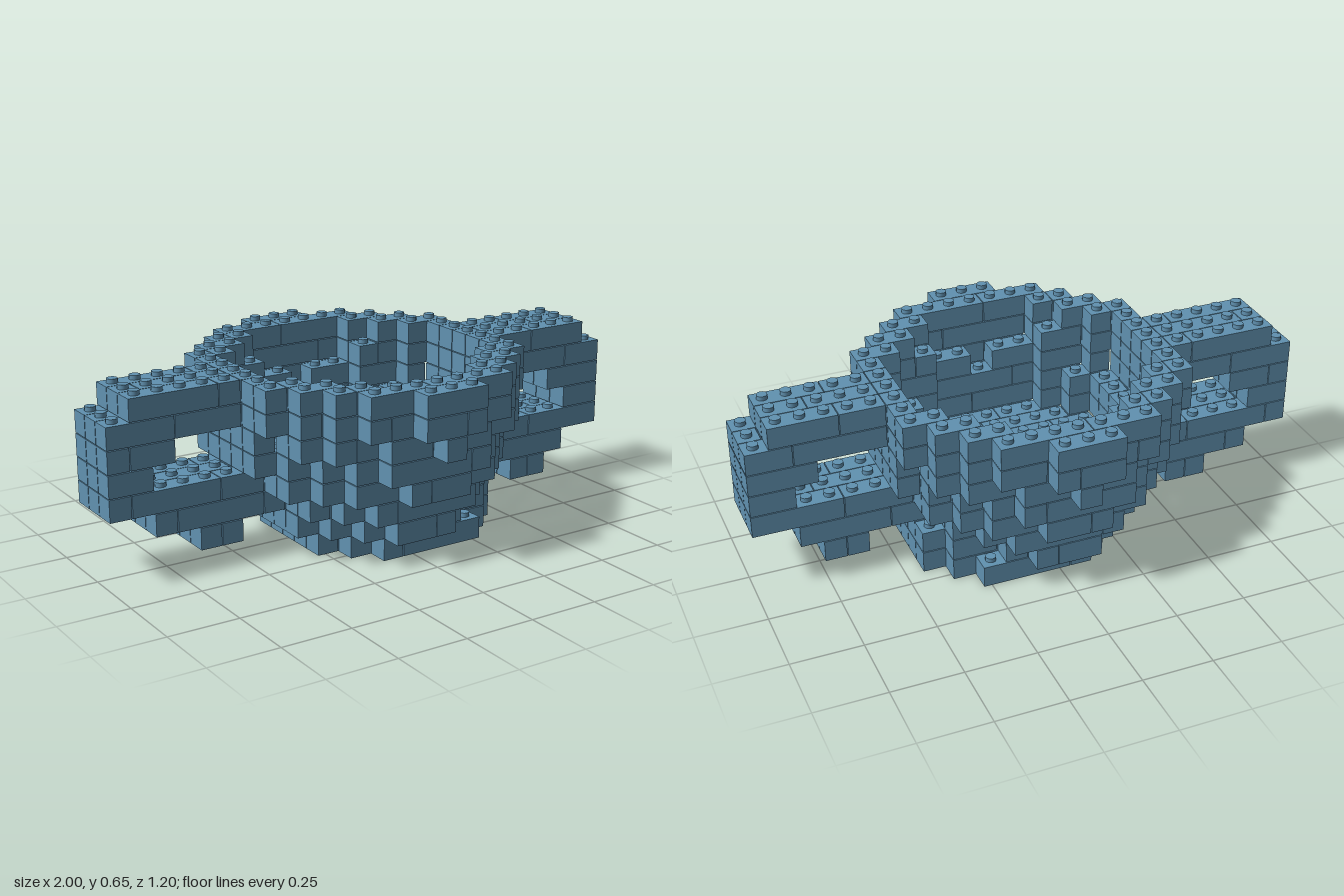
import * as THREE from 'three';
import { mergeGeometries } from 'three/addons/utils/BufferGeometryUtils.js';

const U = 0.08;      // one brick cell, also one brick course
const GAP = 0.003;   // seam between bricks

const stoneBlue = new THREE.MeshStandardMaterial({ color: 0x6192b1 });
stoneBlue.name = 'stoneBlue';

// Span pairs left and right of a hollow; hollow < 0 gives a solid row
const ring = (outer, hollow = -1) =>
  hollow < 0 ? [[-outer, outer]] : [[-outer, -hollow - 1], [hollow + 1, outer]];
const pair = (a, b) => [[-b, -a], [a, b]];

// Each course lists its rows from the middle (z = 0) outwards, as cell spans along x.
// Rows are mirrored front to back.
const body = [
  // base disc, one cell off centre
  [[[-3, 5]], [[-3, 5]], [[-3, 5]], [[-2, 4]], [[-1, 3]]],
  [[[-4, 5]], [[-4, 5]], [[-4, 5]], [[-3, 4]], ring(2), ring(1)],
  // bowl floor
  [ring(4), ring(4), ring(4), ring(4), ring(3), ring(2)],
  // wall, widening upwards
  [ring(5, 4), ring(5, 4), ring(5, 4), ring(5, 3), ring(4, 2), ring(3), ring(1)],
  [ring(6, 4), ring(6, 4), ring(6, 4), ring(5, 3), ring(4, 2), ring(3), ring(2)],
  [ring(6, 5), ring(6, 5), ring(6, 5), ring(5, 4), ring(5, 2), ring(4, 0), ring(2), ring(0)],
  [ring(6, 5), ring(6, 5), ring(6, 5), ring(6, 4), ring(5, 2), ring(4, 2), ring(3), ring(1)],
  // rim
  [ring(6, 5), ring(6, 5), ring(6, 5), ring(6, 4), ring(5, 3), ring(4, 2), ring(3), ring(1)],
];

// Handles are three rows deep
const handles = [
  [],
  [[-8, -7], [8, 9]],
  pair(5, 10),
  pair(6, 12),
  pair(11, 12),
  pair(10, 12),
  pair(7, 12),
  pair(7, 11),
];

const names = ['base', 'lowerBowl', 'bowlFloor', 'wallCourse1', 'wallCourse2', 'wallCourse3', 'wallCourse4', 'rim'];

// One brick from cell a to cell b in row r of a course
function brick(a, b, r, course) {
  const w = (b - a + 1) * U - GAP;
  const g = new THREE.BoxGeometry(w, U - GAP, U - GAP);
  g.translate(((a + b) / 2) * U, course * U + (U - GAP) / 2, r * U);
  return g;
}

function stud(i, r, course) {
  const g = new THREE.CylinderGeometry(0.019, 0.019, 0.0125 + GAP, 12);
  g.translate(i * U, (course + 1) * U + (0.0125 - GAP) / 2, r * U);
  return g;
}

// Break a span into bricks of up to four cells, with joints shifted course by course
function layBricks([lo, hi], r, course, out) {
  let a = lo;
  while (a <= hi) {
    const shift = (((a + course * 2 + Math.abs(r)) % 4) + 4) % 4;
    const b = Math.min(hi, a + 3 - shift);
    out.push(brick(a, b, r, course));
    a = b + 1;
  }
}

// All rows of a body course or of a handle course: [row, span]
function spansOf(course) {
  const bodySpans = [], handleSpans = [];
  body[course].forEach((spans, n) => {
    for (const r of n ? [-n, n] : [0]) for (const s of spans) bodySpans.push([r, s]);
  });
  for (const r of [-1, 0, 1]) for (const s of handles[course]) handleSpans.push([r, s]);
  return { bodySpans, handleSpans };
}

export function createModel() {
  const group = new THREE.Group();
  group.name = 'brickCauldron';
  const courses = body.map((_, c) => spansOf(c));

  // Filled cells of each course, used to leave studs off covered bricks
  const filled = courses.map(({ bodySpans, handleSpans }) => {
    const set = new Set();
    for (const [r, [lo, hi]] of [...bodySpans, ...handleSpans])
      for (let i = lo; i <= hi; i++) set.add(i + ',' + r);
    return set;
  });

  const addPart = (name, spans, course) => {
    if (!spans.length) return;
    const geos = [];
    for (const [r, span] of spans) {
      layBricks(span, r, course, geos);
      for (let i = span[0]; i <= span[1]; i++)
        if (!filled[course + 1]?.has(i + ',' + r)) geos.push(stud(i, r, course));
    }
    const mesh = new THREE.Mesh(mergeGeometries(geos), stoneBlue);
    mesh.name = name;
    group.add(mesh);
  };

  courses.forEach(({ bodySpans, handleSpans }, c) => {
    addPart(names[c], bodySpans, c);
    addPart('leftHandle' + c, handleSpans.filter(([, s]) => s[0] > 0), c);
    addPart('rightHandle' + c, handleSpans.filter(([, s]) => s[0] < 0), c);
  });
  return group;
}
